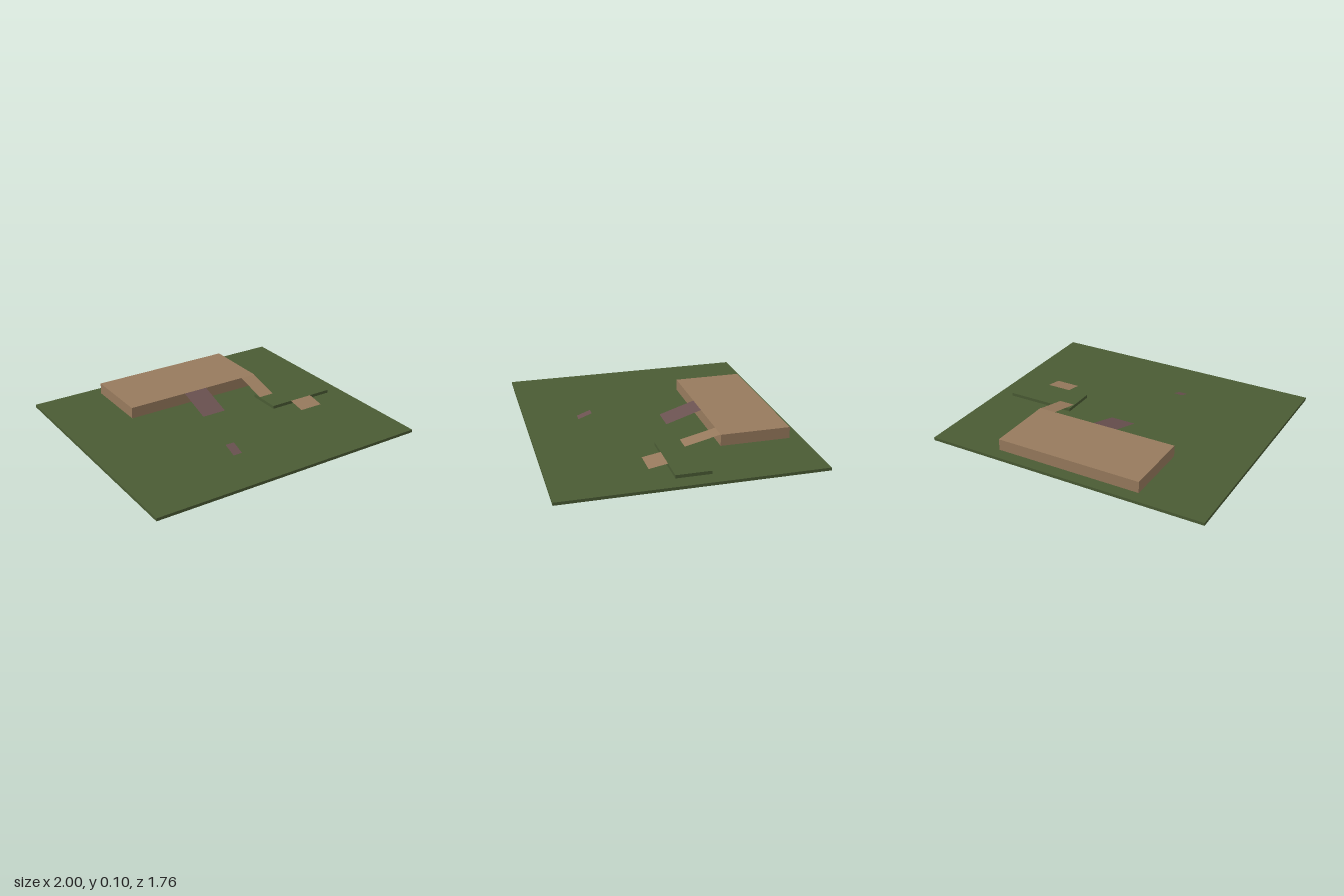
import * as THREE from 'three';

const flat = (name, color) => {
  const m = new THREE.MeshStandardMaterial({ color, side: THREE.DoubleSide });
  m.name = name;
  return m;
};

export function createModel() {
  const green = flat('grass green', 0x4a5b34);
  const tan = flat('tan', 0x977a5d);
  const plum = flat('dull plum', 0x6a5150);

  const group = new THREE.Group();
  group.name = 'terrain';

  // Box given by its limits on each axis
  const block = (name, material, [x0, x1], [y0, y1], [z0, z1]) => {
    const mesh = new THREE.Mesh(new THREE.BoxGeometry(x1 - x0, y1 - y0, z1 - z0), material);
    mesh.position.set((x0 + x1) / 2, (y0 + y1) / 2, (z0 + z1) / 2);
    mesh.name = name;
    group.add(mesh);
  };

  // Thin sloping sheet from a high back edge to a low front edge
  const ramp = (name, material, [x0, x1], [yBack, yFront], [zBack, zFront]) => {
    const length = Math.hypot(zFront - zBack, yBack - yFront);
    const geometry = new THREE.PlaneGeometry(x1 - x0, length);
    geometry.rotateX(-Math.PI / 2 + Math.atan2(yBack - yFront, zFront - zBack));
    const mesh = new THREE.Mesh(geometry, material);
    mesh.position.set((x0 + x1) / 2, (yBack + yFront) / 2, (zBack + zFront) / 2);
    mesh.name = name;
    group.add(mesh);
  };

  // Ground and raised levels
  block('ground', green, [-1, 1], [0, 0.02], [-0.88, 0.88]);
  block('highPlateau', tan, [-0.52, 0.52], [0.02, 0.1], [-0.795, -0.31]);
  block('lowTerrace', green, [0.395, 0.89], [0.02, 0.042], [-0.13, 0.107]);

  // Ramps between the levels
  ramp('plateauRamp', plum, [-0.09, 0.09], [0.1, 0.02], [-0.31, -0.06]);
  ramp('terraceUpperRamp', tan, [0.4, 0.515], [0.1, 0.042], [-0.31, -0.065]);
  ramp('terraceLowerRamp', tan, [0.55, 0.725], [0.042, 0.02], [0.107, 0.233]);
  ramp('smallRamp', plum, [-0.22, -0.155], [0.054, 0.02], [0.418, 0.513]);

  return group;
}
